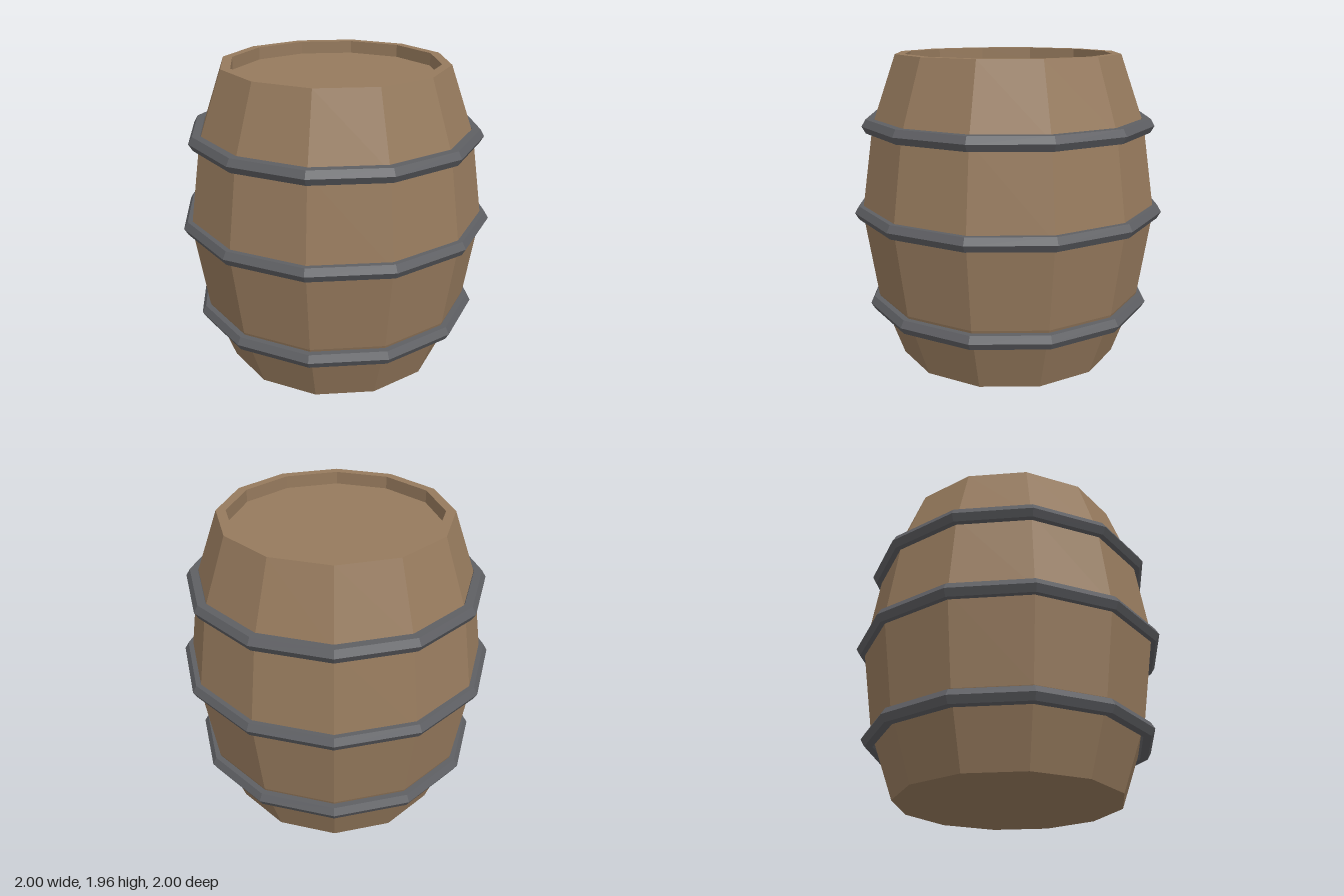
import * as THREE from 'three';

const SIDES = 12;

export function createModel() {
  const barrel = new THREE.Group();
  barrel.name = 'barrel';

  const wood = new THREE.MeshStandardMaterial({ color: 0x967a5d });
  wood.name = 'wood';
  const iron = new THREE.MeshStandardMaterial({ color: 0x5e5f63 });
  iron.name = 'iron';

  // Adds a mesh with faceted normals
  function add(name, geometry, material, y = 0) {
    const faceted = geometry.toNonIndexed();
    faceted.computeVertexNormals();
    const mesh = new THREE.Mesh(faceted, material);
    mesh.name = name;
    mesh.position.y = y;
    barrel.add(mesh);
  }

  // Bulging staves, flat rim and the inner wall of the recessed top
  const profile = [
    [0.715, 0], [0.868, 0.43], [0.95, 0.98], [0.868, 1.53],
    [0.715, 1.96], [0.655, 1.96], [0.655, 1.88],
  ].map(([r, y]) => new THREE.Vector2(r, y));
  add('staves', new THREE.LatheGeometry(profile, SIDES), wood);

  // Heads closing both ends
  add('lid', new THREE.CircleGeometry(0.655, SIDES).rotateX(-Math.PI / 2), wood, 1.88);
  add('base', new THREE.CircleGeometry(0.715, SIDES).rotateX(Math.PI / 2), wood, 0);

  // Iron hoops with a hexagonal section
  const hoops = [
    ['lowerHoop', 0.875, 0.37],
    ['middleHoop', 0.95, 0.98],
    ['upperHoop', 0.885, 1.525],
  ];
  for (const [name, radius, y] of hoops) {
    add(name, new THREE.TorusGeometry(radius, 0.05, 6, SIDES).rotateX(Math.PI / 2), iron, y);
  }

  return barrel;
}
